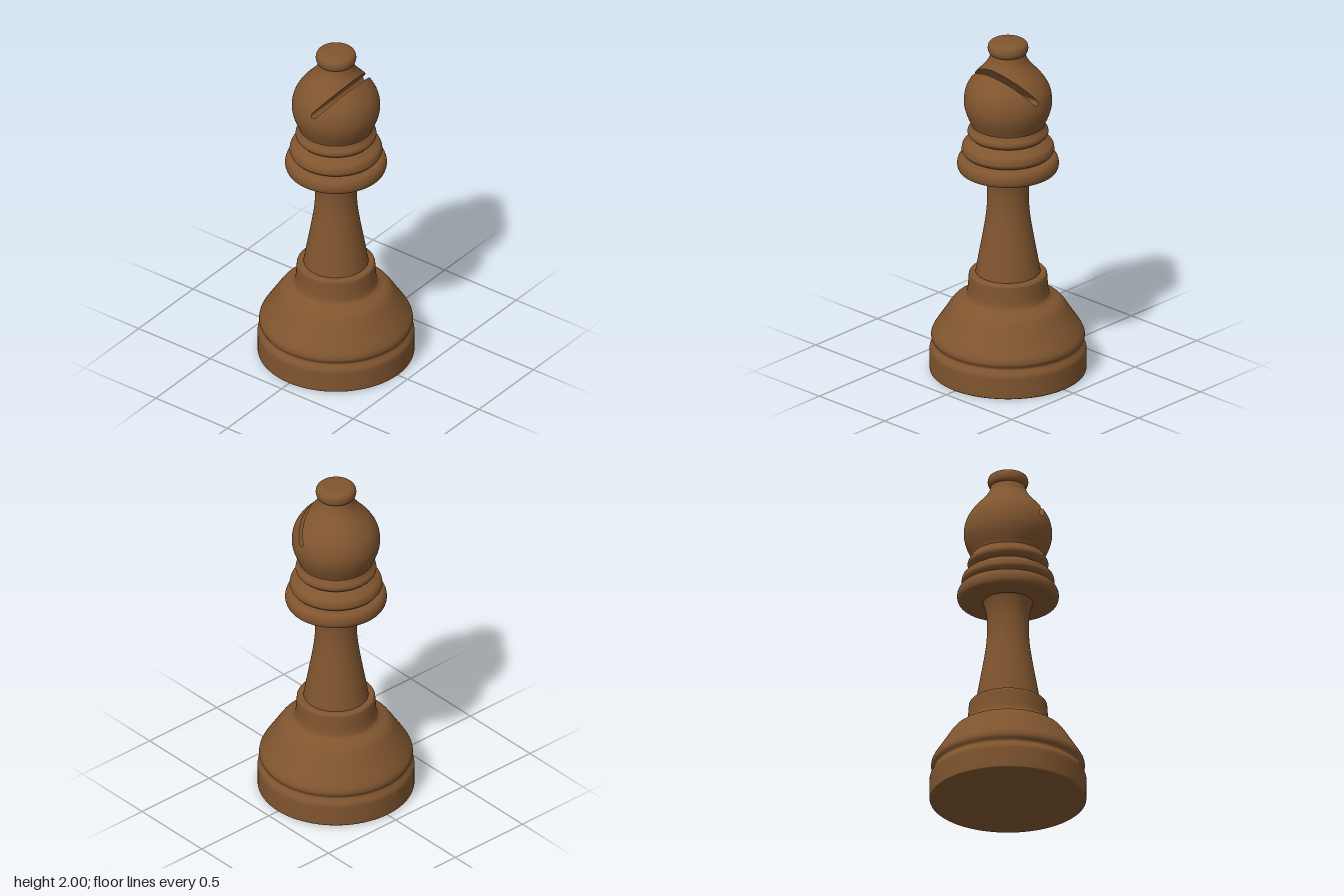
import * as THREE from 'three';

const SEGMENTS = 96;
const wood = new THREE.MeshStandardMaterial({ color: 0x80552f });
wood.name = 'brown wood';

const smooth = (pts, n = 6) =>
  new THREE.SplineCurve(pts.map(([x, y]) => new THREE.Vector2(x, y))).getPoints((pts.length - 1) * n);

// Turned parts: each is a list of runs; corners between runs stay sharp
const turned = {
  foot: [
    [[0, 0], [0.425, 0]],
    [[0.425, 0], [0.434, 0.004], [0.437, 0.015], [0.437, 0.07], [0.437, 0.125], [0.432, 0.145], [0.418, 0.168],
      [0.416, 0.18], [0.426, 0.198], [0.428, 0.215], [0.418, 0.245], [0.37, 0.32], [0.318, 0.4], [0.288, 0.428],
      [0.25, 0.446], [0.232, 0.462], [0.224, 0.5], [0.219, 0.57], [0.216, 0.587], [0.206, 0.596]],
    [[0.206, 0.596], [0.15, 0.597]],
  ],
  stem: [[[0.181, 0.595], [0.165, 0.69], [0.14, 0.83], [0.122, 0.95], [0.116, 1.05], [0.12, 1.13], [0.135, 1.2], [0.145, 1.216]]],
  lowerCollar: [
    [[0.12, 1.212], [0.255, 1.212]],
    [[0.255, 1.212], [0.274, 1.22], [0.283, 1.245], [0.28, 1.275], [0.264, 1.298], [0.23, 1.306], [0.18, 1.308]],
  ],
  middleCollar: [[[0.2, 1.305], [0.238, 1.312], [0.256, 1.33], [0.258, 1.348], [0.249, 1.374], [0.222, 1.395], [0.2, 1.408], [0.17, 1.412]]],
  upperCollar: [[[0.17, 1.412], [0.205, 1.417], [0.223, 1.435], [0.224, 1.455], [0.212, 1.475], [0.203, 1.495]]],
  topKnob: [[[0.07, 1.913], [0.093, 1.917], [0.108, 1.93], [0.113, 1.955], [0.105, 1.98], [0.08, 1.994], [0.04, 1.999], [0, 2]]],
};

const headProfile = smooth([[0.2, 1.48], [0.209, 1.505], [0.225, 1.54], [0.24, 1.585], [0.246, 1.63], [0.24, 1.685],
  [0.222, 1.733], [0.188, 1.784], [0.145, 1.832], [0.112, 1.876], [0.096, 1.92]]);

function headRadius(y) {
  for (let i = 1; i < headProfile.length; i++) {
    const a = headProfile[i - 1], b = headProfile[i];
    if (y >= a.y && y <= b.y) return a.x + (b.x - a.x) * (y - a.y) / (b.y - a.y);
  }
  return 0;
}

// Slanted slot outline in the xy plane: down one side, round the end, up the other
function slotOutline() {
  const half = 0.016, length = 0.3, angle = 0.9, cap = 10;
  const c = Math.cos(angle), s = Math.sin(angle);
  const place = (u, v) => new THREE.Vector2(0.024 + u * c - v * s, 1.693 + u * s + v * c);
  const path = [place(length, half)];
  for (let i = 0; i <= cap; i++) {
    const t = Math.PI * (0.5 + i / cap);
    path.push(place(half * Math.cos(t), half * Math.sin(t)));
  }
  path.push(place(length, -half));
  return path;
}

// Split a polygon by the line a-b into the parts right (outside) and left (inside) of it
function split(poly, a, b) {
  const side = ({ p }) => (b.x - a.x) * (p.y - a.y) - (b.y - a.y) * (p.x - a.x);
  const outside = [], inside = [];
  poly.forEach((v, i) => {
    const w = poly[(i + 1) % poly.length], sv = side(v), sw = side(w);
    (sv < 0 ? outside : inside).push(v);
    if (sv < 0 !== sw < 0) {
      const t = sv / (sv - sw);
      const cut = { p: v.p.clone().lerp(w.p, t), n: v.n.clone().lerp(w.n, t).normalize() };
      outside.push(cut);
      inside.push(cut);
    }
  });
  return [outside, inside];
}

// Head surface with the slot trimmed away
function slottedHead(outline) {
  const g = new THREE.LatheGeometry(headProfile, SEGMENTS);
  const index = g.index.array, pos = [], nor = [];
  const corner = (i) => ({
    p: new THREE.Vector3().fromBufferAttribute(g.attributes.position, i),
    n: new THREE.Vector3().fromBufferAttribute(g.attributes.normal, i),
  });
  const emit = (poly) => {
    for (let i = 2; i < poly.length; i++) {
      for (const v of [poly[0], poly[i - 1], poly[i]]) {
        pos.push(v.p.x, v.p.y, v.p.z);
        nor.push(v.n.x, v.n.y, v.n.z);
      }
    }
  };
  for (let i = 0; i < index.length; i += 3) {
    let rest = [corner(index[i]), corner(index[i + 1]), corner(index[i + 2])];
    for (let k = 1; k < outline.length && rest.length > 2; k++) {
      const [outside, inside] = split(rest, outline[k - 1], outline[k]);
      emit(outside);
      rest = inside;
    }
  }
  const out = new THREE.BufferGeometry();
  out.setAttribute('position', new THREE.Float32BufferAttribute(pos, 3));
  out.setAttribute('normal', new THREE.Float32BufferAttribute(nor, 3));
  return out;
}

// Slot walls running front to back between the two sides of the head
function slotWalls(outline) {
  const pos = [];
  const depth = (p) => Math.sqrt(Math.max(0, headRadius(p.y) ** 2 - p.x ** 2));
  for (let k = 1; k < outline.length; k++) {
    const steps = outline[k].distanceTo(outline[k - 1]) > 0.1 ? 80 : 1;
    for (let i = 0; i < steps; i++) {
      const a = outline[k - 1].clone().lerp(outline[k], i / steps);
      const b = outline[k - 1].clone().lerp(outline[k], (i + 1) / steps);
      const za = depth(a), zb = depth(b);
      if (za + zb === 0) continue;
      pos.push(a.x, a.y, -za, b.x, b.y, zb, b.x, b.y, -zb);
      pos.push(a.x, a.y, -za, a.x, a.y, za, b.x, b.y, zb);
    }
  }
  const g = new THREE.BufferGeometry();
  g.setAttribute('position', new THREE.Float32BufferAttribute(pos, 3));
  g.computeVertexNormals();
  return g;
}

export function createModel() {
  const model = new THREE.Group();
  model.name = 'chessBishop';
  const add = (parent, name, geometry) => {
    const mesh = new THREE.Mesh(geometry, wood);
    mesh.name = name;
    parent.add(mesh);
  };

  for (const [name, runs] of Object.entries(turned)) {
    const part = new THREE.Group();
    part.name = name;
    runs.forEach((run, i) => {
      const points = run.length > 2 ? smooth(run) : smooth(run, 1);
      add(part, `${name}Surface${i + 1}`, new THREE.LatheGeometry(points, SEGMENTS));
    });
    model.add(part);
  }

  const head = new THREE.Group();
  head.name = 'head';
  const outline = slotOutline();
  add(head, 'headSurface', slottedHead(outline));
  add(head, 'slotWalls', slotWalls(outline));
  model.add(head);
  return model;
}
